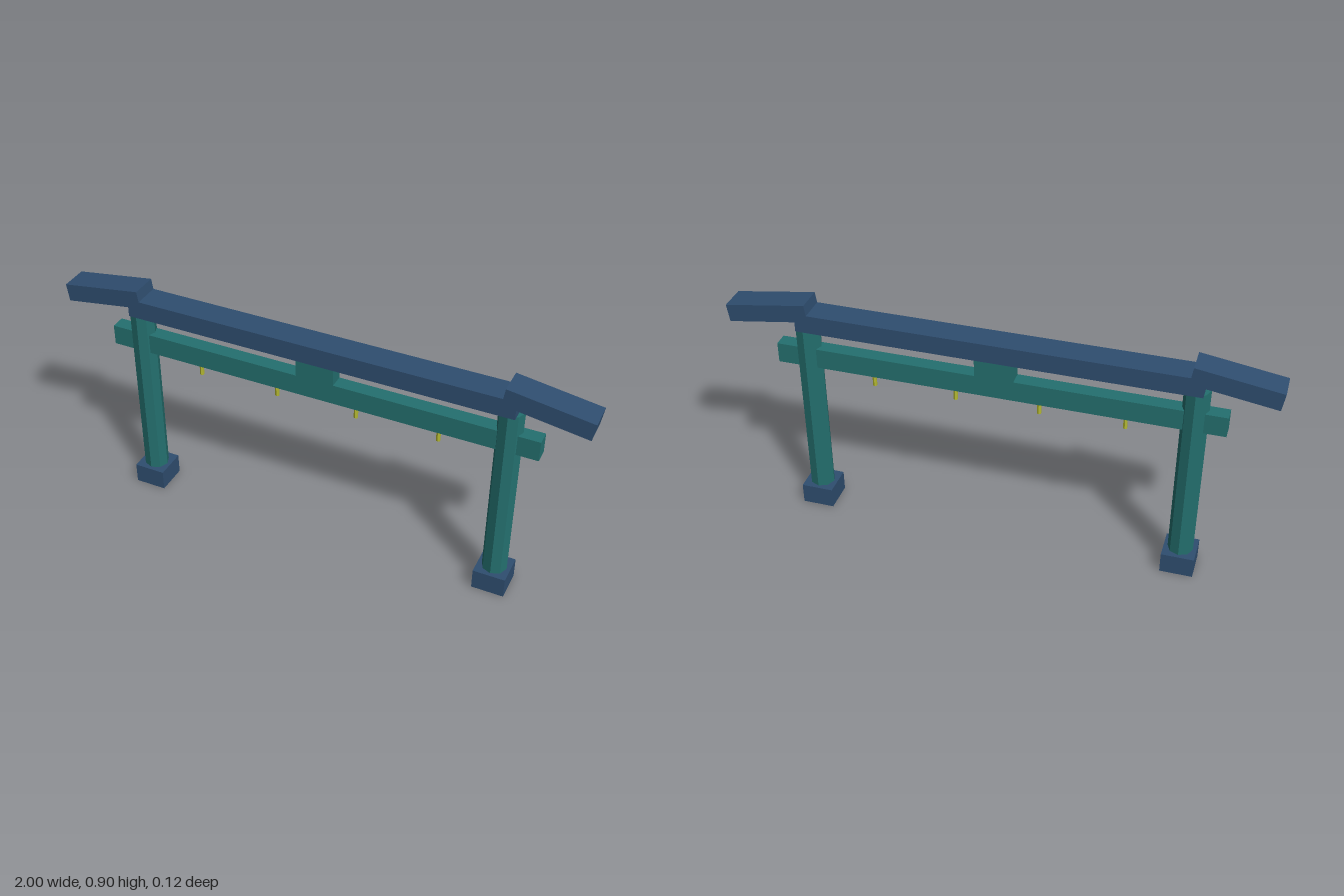
import * as THREE from 'three';

const teal = new THREE.MeshStandardMaterial({ color: 0x24706f, flatShading: true });
teal.name = 'tealPaint';
const navy = new THREE.MeshStandardMaterial({ color: 0x2f4e70, flatShading: true });
navy.name = 'navyPaint';
const brass = new THREE.MeshStandardMaterial({ color: 0xb4b832, flatShading: true });
brass.name = 'yellowBrass';

export function createModel() {
  const gate = new THREE.Group();
  gate.name = 'gate';

  const add = (name, geometry, material, x, y) => {
    const mesh = new THREE.Mesh(geometry, material);
    mesh.name = name;
    mesh.position.set(x, y, 0);
    gate.add(mesh);
    return mesh;
  };
  const box = (name, w, h, d, material, x, y) =>
    add(name, new THREE.BoxGeometry(w, h, d), material, x, y);

  // Posts, plinths and drooping lintel ends, mirrored
  for (const [side, s] of [['left', 1], ['right', -1]]) {
    add(side + 'Post', new THREE.CylinderGeometry(0.047, 0.047, 0.78, 8), teal, s * 0.709, 0.395);
    box(side + 'Plinth', 0.122, 0.08, 0.122, navy, s * 0.709, 0.04);
    const end = box(side + 'LintelEnd', 0.31, 0.067, 0.103, navy, s * 0.842, 0.839);
    end.rotation.z = -s * 0.15;
  }

  // Top lintel, tie beam and the short strut between them
  box('topLintel', 1.47, 0.071, 0.103, navy, 0, 0.819);
  box('tieBeam', 1.65, 0.078, 0.055, teal, 0, 0.664);
  box('centreStrut', 0.144, 0.084, 0.055, teal, 0, 0.744);

  // Small hanging pegs under the tie beam
  for (let i = 0; i < 4; i++) {
    add('hangingPeg' + (i + 1), new THREE.CylinderGeometry(0.008, 0.008, 0.055, 6), brass, -0.472 + i * 0.311, 0.5995);
  }
  return gate;
}
